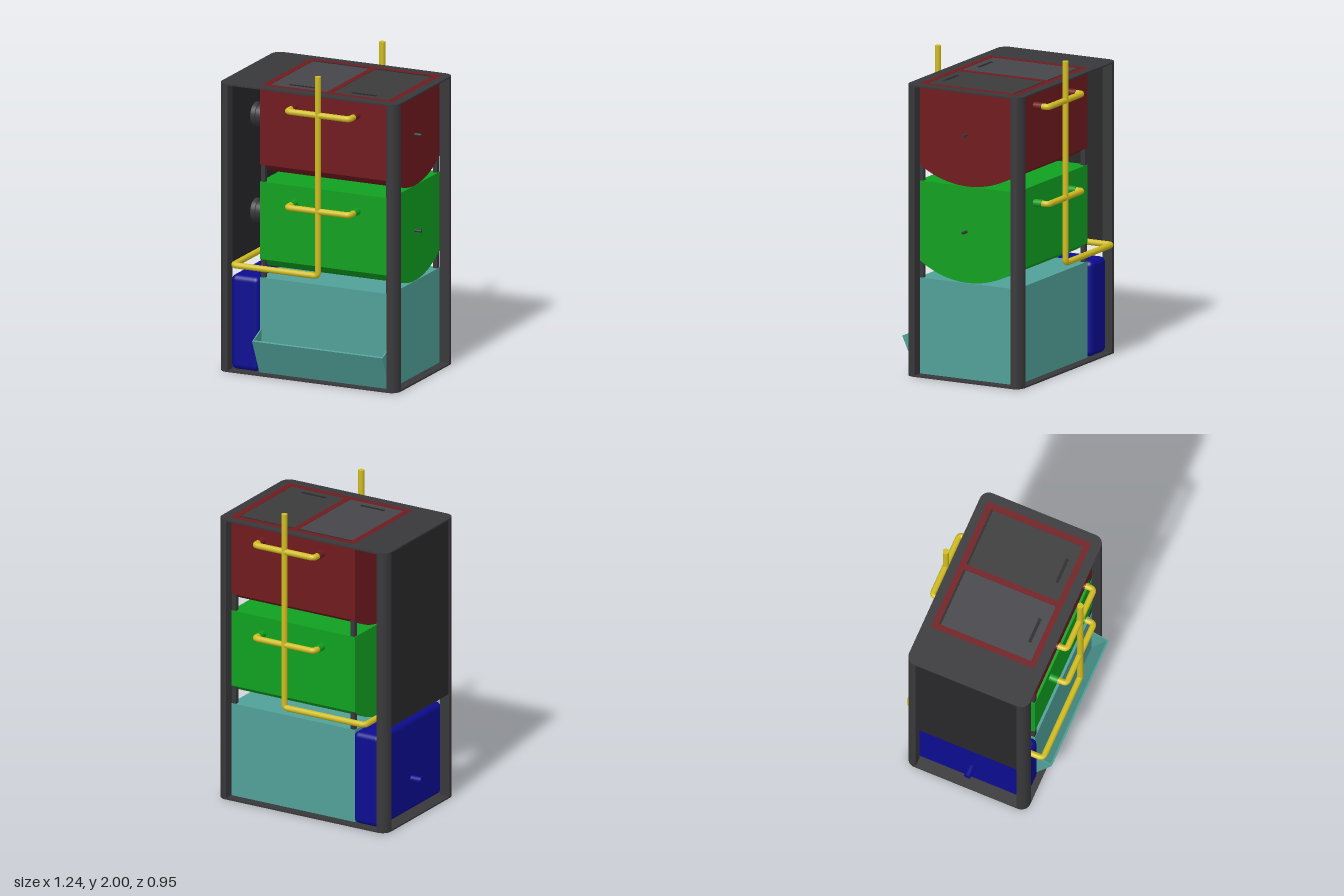
import * as THREE from 'three';
import { RoundedBoxGeometry } from 'three/addons/geometries/RoundedBoxGeometry.js';

const mat = (color) => new THREE.MeshStandardMaterial({ color, side: THREE.DoubleSide });

export function createModel() {
  const root = new THREE.Group();
  const dark = mat(0x38373a), lidGrey = mat(0x46454a), lidDark = mat(0x3b3b3c), black = mat(0x28282a);
  const red = mat(0x701a1e), green = mat(0x10a020), teal = mat(0x50a098);
  const blue = mat(0x0c0c90), yellow = mat(0xd0bc20);

  const add = (name, geo, material) => {
    const m = new THREE.Mesh(geo, material);
    m.name = name;
    root.add(m);
    return m;
  };
  // box from its min and max corners
  const box = (name, material, x0, x1, y0, y1, z0, z1) =>
    add(name, new THREE.BoxGeometry(x1 - x0, y1 - y0, z1 - z0)
      .translate((x0 + x1) / 2, (y0 + y1) / 2, (z0 + z1) / 2), material);
  // cylinder between two points
  const rod = (name, material, r, a, b, sides = 20) => {
    const p = new THREE.Vector3(...a), q = new THREE.Vector3(...b), d = q.clone().sub(p);
    const m = add(name, new THREE.CylinderGeometry(r, r, d.length(), sides), material);
    m.position.copy(p).add(q).multiplyScalar(0.5);
    m.quaternion.setFromUnitVectors(new THREE.Vector3(0, 1, 0), d.normalize());
    return m;
  };
  // floor-plan shape (x, -z) raised from y0 to y1
  const slab = (name, material, shape, y0, y1) =>
    add(name, new THREE.ExtrudeGeometry(shape, { depth: y1 - y0, bevelEnabled: false, curveSegments: 10 })
      .rotateX(-Math.PI / 2).translate(0, y0, 0), material);
  // side profile shape (-z, y) extended from x0 to x1
  const profile = (name, material, shape, x0, x1) =>
    add(name, new THREE.ExtrudeGeometry(shape, { depth: x1 - x0, bevelEnabled: false, curveSegments: 32 })
      .rotateY(Math.PI / 2).translate(x0, 0, 0), material);
  const poly = (pts) => new THREE.Shape(pts.map(([x, y]) => new THREE.Vector2(x, y)));
  const rect = (x0, x1, z0, z1) => poly([[x0, -z1], [x1, -z1], [x1, -z0], [x0, -z0]]);
  const roundRect = (x0, x1, z0, z1, r) => {
    const s = new THREE.Shape();
    s.absarc(x1 - r, -z0 - r, r, 0, Math.PI / 2);
    s.absarc(x0 + r, -z0 - r, r, Math.PI / 2, Math.PI);
    s.absarc(x0 + r, -z1 + r, r, Math.PI, Math.PI * 1.5);
    s.absarc(x1 - r, -z1 + r, r, Math.PI * 1.5, Math.PI * 2);
    s.closePath();
    return s;
  };

  // ---- cabinet frame ----
  const X0 = -0.615, X1 = 0.62, Z0 = -0.42, Z1 = 0.40, TOP = 1.86;
  slab('basePlate', dark, roundRect(X0, X1, Z0, Z1, 0.06), 0, 0.01);
  const topShape = roundRect(X0, X1, Z0, Z1, 0.06);
  topShape.holes.push(rect(-0.345, 0.56, -0.365, 0.335));
  slab('topPlate', dark, topShape, TOP - 0.01, TOP);
  for (const sx of [-1, 1]) for (const sz of [-1, 1]) {
    const cx = sx > 0 ? X1 : X0, cz = sz > 0 ? Z1 : Z0, w = 0.068, r = 0.06;
    const s = new THREE.Shape();
    s.moveTo(cx - sx * w, -(cz - sz * w));
    s.lineTo(cx, -(cz - sz * w));
    s.lineTo(cx, -(cz - sz * r));
    for (let i = 1; i <= 10; i++) {
      const a = (i / 10) * Math.PI / 2;
      s.lineTo(cx - sx * r * (1 - Math.cos(a)), -(cz - sz * r * (1 - Math.sin(a))));
    }
    s.lineTo(cx - sx * w, -cz);
    slab('cornerPost', dark, s, 0.01, TOP - 0.01);
    // slim inner upright at the bin corner
    const bx = sx > 0 ? 0.52 : -0.346, bz = sz > 0 ? 0.31 : -0.355;
    box('innerUpright', dark, bx, bx + 0.028, 0.6, 1.4, bz, bz + 0.03);
  }
  box('sidePanel', black, -0.61, -0.55, 0.69, 1.85, -0.352, 0.332);

  // ---- bins ----
  const BX0 = -0.35, BX1 = 0.553, F = 0.343, B = -0.358;
  // trough outline with a curved belly, inset by t
  const trough = (top, edge, bottom, t) => {
    const h = (F - B) / 2, c = -(F + B) / 2, sag = edge - bottom;
    const R = (h * h + sag * sag) / (2 * sag), a = Math.asin((h - t) / (R - t));
    const s = new THREE.Shape();
    s.moveTo(c + h - t, top);
    s.lineTo(c - h + t, top);
    s.absarc(c, bottom + R, R - t, Math.PI * 1.5 - a, Math.PI * 1.5 + a);
    s.closePath();
    return s;
  };
  const bin = (name, material, top, edge, bottom) => {
    const outer = trough(top, edge, bottom, 0);
    for (const x of [BX0, BX1 - 0.03]) profile(name + 'End', material, outer, x, x + 0.03);
    const wall = trough(top, edge, bottom, 0);
    wall.holes.push(trough(top - 0.0005, edge, bottom, 0.025));
    profile(name + 'Trough', material, wall, BX0 + 0.03, BX1 - 0.03);
  };
  bin('upperBin', red, TOP - 0.011, 1.35, 1.24);
  bin('middleBin', green, 1.24, 0.74, 0.625);
  box('lowerBin', teal, BX0, BX1, 0.01, 0.622, B, F);

  // tilted tray at the foot of the lower bin
  const lip = [-0.458, 0.237];
  profile('trayFront', teal, poly([[-F, 0.012], [-F - 0.012, 0.012], lip, [lip[0] + 0.012, 0.242]]), BX0, BX1);
  for (const x of [BX0, BX1 - 0.008])
    profile('trayCheek', teal, poly([[-F, 0.012], lip, [-F, 0.285]]), x, x + 0.008);

  // ---- hatch on top ----
  const rim = rect(-0.345, 0.56, -0.365, 0.335);
  for (const [x0, material] of [[-0.305, lidGrey], [0.125, lidDark]]) {
    const x1 = x0 + 0.392;
    rim.holes.push(rect(x0, x1, -0.325, 0.297));
    box('lid', material, x0, x1, TOP - 0.01, TOP - 0.002, -0.325, 0.297);
    box('lidHinge', black, x0, x1, TOP - 0.008, TOP, -0.325, -0.313);
    box('lidHandle', black, x0 + 0.11, x0 + 0.28, TOP - 0.008, TOP, 0.23, 0.25);
  }
  slab('hatchRim', red, rim, TOP - 0.01, TOP);

  // ---- mixers: motor, shaft and paddles ----
  for (const y of [1.57, 0.95]) {
    rod('motorMount', dark, 0.075, [-0.55, y, 0], [-0.52, y, 0], 32);
    rod('motor', dark, 0.068, [-0.52, y, 0], [-0.46, y, 0], 32);
    rod('motorNeck', dark, 0.02, [-0.46, y, 0], [-0.435, y, 0]);
    rod('mixerShaft', dark, 0.009, [-0.44, y, 0], [0.6, y, 0]);
    for (let i = 0; i < 5; i++) {
      const x = -0.22 + i * 0.16, a = i * 1.26;
      const dy = Math.cos(a) * 0.2, dz = Math.sin(a) * 0.2;
      rod('paddle', dark, 0.008, [x, y - dy, -dz], [x, y + dy, dz], 10);
    }
  }

  // ---- liquid tank ----
  add('tank', new RoundedBoxGeometry(0.195, 0.61, 0.75, 4, 0.035).translate(-0.4485, 0.316, -0.01), blue);
  rod('tankNeck', blue, 0.027, [-0.483, 0.61, 0], [-0.483, 0.665, 0]);
  rod('tankOutlet', blue, 0.022, [-0.54, 0.225, 0], [-0.62, 0.225, 0]);

  // ---- air pipes, front and back ----
  const R = 0.0195, Z = 0.455;
  const pipe = (name, pts) => {
    // straight runs joined by short rounded elbows
    const v = pts.map((p) => new THREE.Vector3(...p)), path = new THREE.CurvePath();
    let from = v[0];
    for (let i = 1; i < v.length - 1; i++) {
      const a = v[i].clone().add(v[i - 1].clone().sub(v[i]).setLength(0.025));
      const b = v[i].clone().add(v[i + 1].clone().sub(v[i]).setLength(0.025));
      path.add(new THREE.LineCurve3(from, a));
      path.add(new THREE.QuadraticBezierCurve3(a, v[i], b));
      from = b;
    }
    path.add(new THREE.LineCurve3(from, v[v.length - 1]));
    add(name, new THREE.TubeGeometry(path, 160, R, 16, false), yellow);
  };
  for (const s of [-1, 1]) {
    const z = s * Z, wall = s > 0 ? F : B;
    pipe('mainPipe', [[0.105, 2, z], [0.105, 0.713, z], [-0.483, 0.713, z], [-0.483, 0.713, 0], [-0.483, 0.65, 0]]);
    rod('pipeCap', yellow, R, [0.105, 1.99, z], [0.105, 2, z]);
    for (const [y, material] of [[1.75, red], [1.13, green]]) {
      pipe('branchPipe', [[-0.11, y, wall], [-0.11, y, z], [0.322, y, z], [0.322, y, wall]]);
      for (const x of [-0.11, 0.322]) rod('pipePort', material, 0.024, [x, y, wall - s * 0.01], [x, y, wall + s * 0.055]);
    }
  }
  return root;
}
